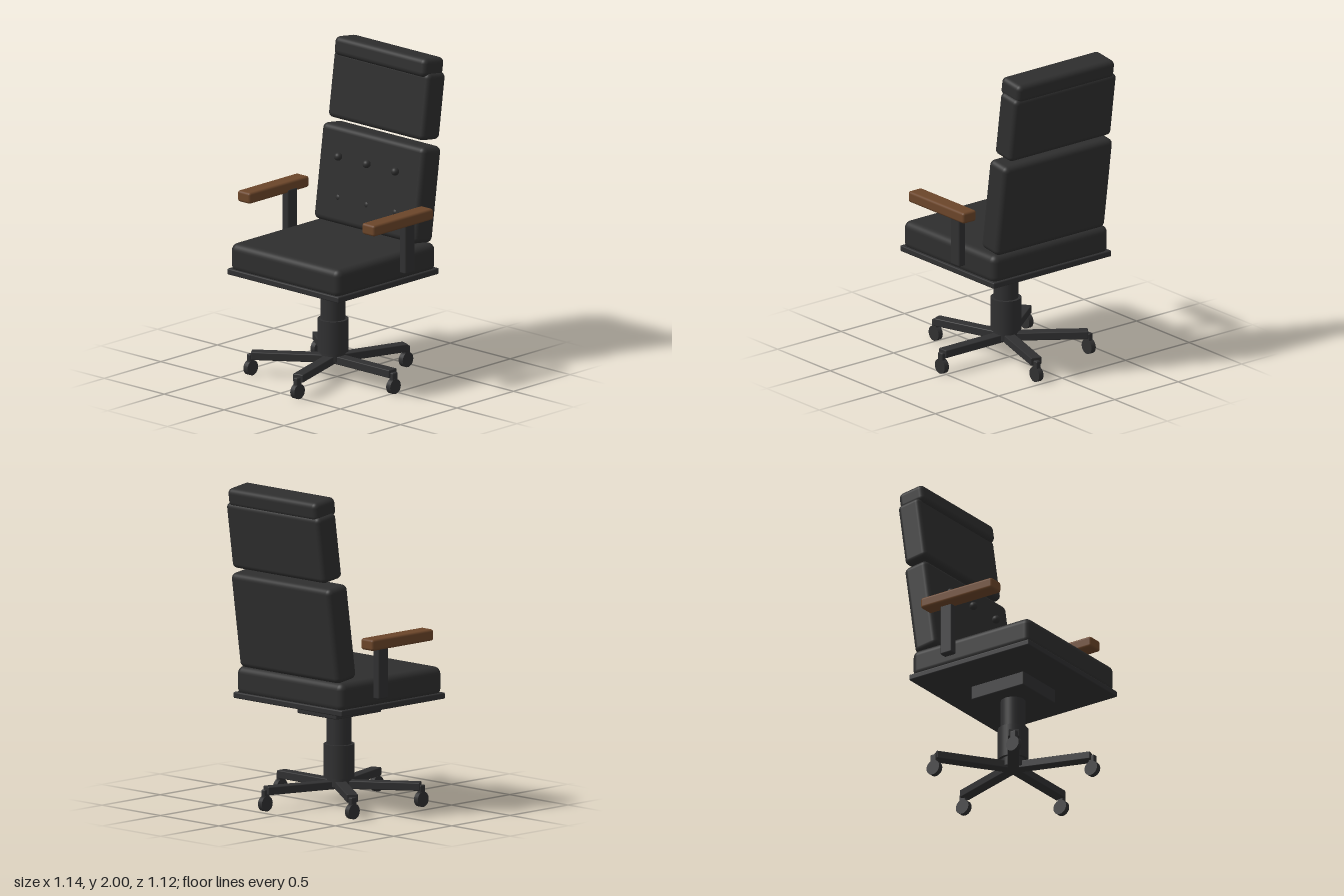
import * as THREE from 'three';
import { RoundedBoxGeometry } from 'three/addons/geometries/RoundedBoxGeometry.js';

const leather = new THREE.MeshStandardMaterial({ name: 'black leather', color: 0x2e2e2e });
const metal = new THREE.MeshStandardMaterial({ name: 'dark metal', color: 0x303031 });
const wood = new THREE.MeshStandardMaterial({ name: 'brown wood', color: 0x6b4529 });

const CENTRE_Z = 0.036; // column and seat axis
const TILT = -8 * Math.PI / 180; // backrest recline

export function createModel() {
  const chair = new THREE.Group();
  chair.name = 'officeChair';

  const add = (name, geometry, material, x, y, z, parent = chair) => {
    const mesh = new THREE.Mesh(geometry, material);
    mesh.name = name;
    mesh.position.set(x, y, z);
    parent.add(mesh);
    return mesh;
  };
  const rounded = (w, h, d, r) => new RoundedBoxGeometry(w, h, d, 4, r);
  const column = (name, r, y0, y1) =>
    add(name, new THREE.CylinderGeometry(r, r, y1 - y0, 32), metal, 0, (y0 + y1) / 2, CENTRE_Z);

  // Star base: five legs, with every caster rolling the same way
  const base = new THREE.Group();
  base.name = 'starBase';
  base.position.z = CENTRE_Z;
  chair.add(base);
  const reach = 0.504;
  const wheel = new THREE.CylinderGeometry(0.047, 0.047, 0.034, 24).rotateZ(Math.PI / 2);
  for (let i = 0; i < 5; i++) {
    const a = i * Math.PI * 2 / 5;
    const x = Math.cos(a) * reach, z = Math.sin(a) * reach;
    const leg = add('leg', rounded(0.5, 0.05, 0.07, 0.006), metal,
      Math.cos(a) * 0.25, 0.13, Math.sin(a) * 0.25, base);
    leg.rotation.y = -a;
    add('casterStem', rounded(0.032, 0.075, 0.045, 0.008), metal, x, 0.1, z, base);
    add('casterWheel', wheel, metal, x, 0.05, z, base);
  }

  // Gas lift column
  column('columnFoot', 0.075, 0.12, 0.19);
  column('columnSleeve', 0.094, 0.175, 0.38);
  column('columnShaft', 0.076, 0.37, 0.58);

  // Seat
  add('tiltMechanism', rounded(0.336, 0.095, 0.39, 0.008), metal, 0, 0.617, CENTRE_Z);
  add('seatPlate', rounded(0.93, 0.038, 0.892, 0.008), metal, 0, 0.676, CENTRE_Z);
  add('seatCushion', rounded(0.912, 0.18, 0.876, 0.045), leather, 0, 0.766, CENTRE_Z);

  // Reclined back cushions: name, width, height, depth, radius, y, z
  for (const [name, w, h, d, r, y, z] of [
    ['backCushion', 0.856, 0.598, 0.17, 0.036, 1.156, -0.357],
    ['headCushion', 0.8, 0.416, 0.164, 0.032, 1.693, -0.439],
    ['headrestRoll', 0.764, 0.118, 0.184, 0.034, 1.932, -0.458],
  ]) {
    add(name, rounded(w, h, d, r), leather, 0, y, z).rotation.x = TILT;
  }

  // Tufting buttons: upper row proud, lower row sunken
  const button = new THREE.SphereGeometry(0.025, 20, 14);
  for (const x of [-0.237, 0, 0.237]) {
    add('upperButton', button, leather, x, 1.291, -0.26);
    add('lowerButton', button, leather, x, 1.032, -0.273);
  }

  // Armrests, mirrored
  for (const side of [-1, 1]) {
    add('armPost', rounded(0.053, 0.34, 0.085, 0.01), metal, side * 0.49, 0.907, -0.1);
    add('armPad', rounded(0.105, 0.07, 0.53, 0.016), wood, side * 0.519, 1.09, 0.015);
  }

  return chair;
}
